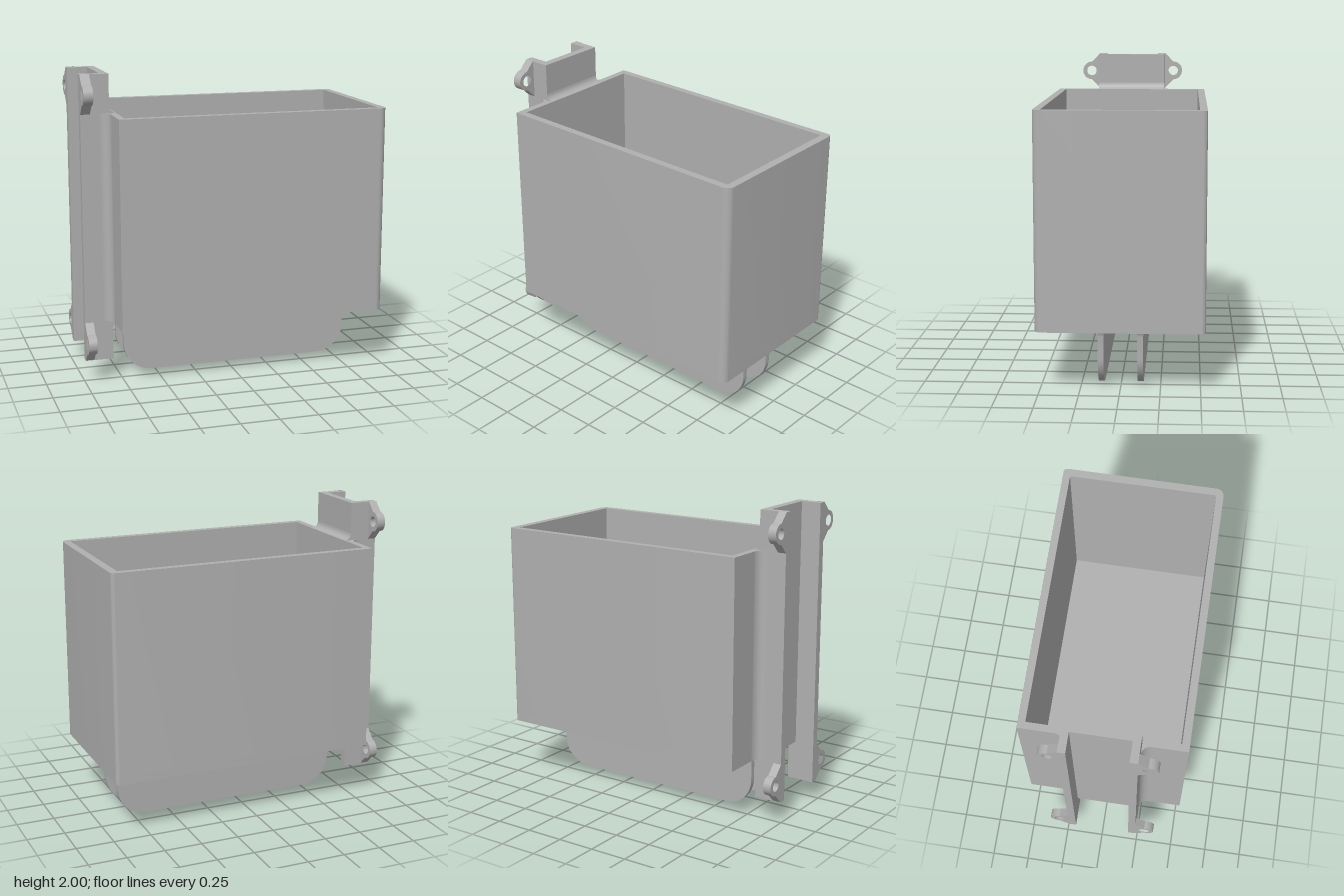
import * as THREE from 'three';
import { toCreasedNormals } from 'three/addons/utils/BufferGeometryUtils.js';

const grey = new THREE.MeshStandardMaterial({ color: 0xb0b0b0 });
grey.name = 'grey';

export function createModel() {
  const model = new THREE.Group();
  model.name = 'mountedBin';

  // Extrude a shape from 'start' over 'depth' along an axis.
  // axis z: shape is (x, y); axis y: shape is (x, -z); axis x: shape is (-z, y)
  function prism(name, shape, axis, start, depth) {
    let geo = new THREE.ExtrudeGeometry(shape, { depth, bevelEnabled: false, curveSegments: 12 });
    geo.translate(0, 0, start);
    if (axis === 'y') geo.rotateX(-Math.PI / 2);
    if (axis === 'x') geo.rotateY(Math.PI / 2);
    geo = toCreasedNormals(geo, 0.5);
    const mesh = new THREE.Mesh(geo, grey);
    mesh.name = name;
    model.add(mesh);
  }

  function block(name, x0, x1, y0, y1, z0, z1) {
    const mesh = new THREE.Mesh(new THREE.BoxGeometry(x1 - x0, y1 - y0, z1 - z0), grey);
    mesh.position.set((x0 + x1) / 2, (y0 + y1) / 2, (z0 + z1) / 2);
    mesh.name = name;
    model.add(mesh);
  }

  // Concave corner fill at (cx, cy), reaching r towards signs sx and sy
  function fillet(cx, cy, sx, sy, r) {
    const pts = [new THREE.Vector2(cx, cy)];
    for (let i = 0; i <= 10; i++) {
      const t = (i / 10) * Math.PI / 2;
      pts.push(new THREE.Vector2(cx + sx * r * (1 - Math.sin(t)), cy + sy * r * (1 - Math.cos(t))));
    }
    return new THREE.Shape(pts);
  }

  const bottom = 0.39, rim = 1.75, top = 2, foot = 0.13;

  // Bin: outline rounded only at the far end
  function binOutline() {
    const s = new THREE.Shape();
    s.moveTo(-0.8, -0.523);
    s.lineTo(0.928, -0.523);
    s.absarc(0.928, -0.473, 0.05, -Math.PI / 2, 0, false);
    s.lineTo(0.98, 0.503);
    s.absarc(0.955, 0.503, 0.024, 0, Math.PI / 2, false);
    s.lineTo(-0.8, 0.527);
    s.closePath();
    return s;
  }
  prism('binFloor', binOutline(), 'y', bottom, 0.05);
  const walls = binOutline();
  walls.holes.push(new THREE.Path([
    new THREE.Vector2(-0.755, -0.475), new THREE.Vector2(-0.755, 0.48),
    new THREE.Vector2(0.928, 0.48), new THREE.Vector2(0.928, -0.475),
  ]));
  prism('binWalls', walls, 'y', bottom + 0.05, rim - bottom - 0.05);

  // Mounting channel web and its fillet onto the rim
  block('channelWeb', -0.852, -0.8, bottom, top, -0.238, 0.238);
  prism('rimFillet', fillet(-0.8, rim, 1, 1, 0.046), 'z', -0.238, 0.476);

  for (const s of [1, -1]) {
    // Channel flanges, blended into the bin end and underside
    const zIn = s * 0.188, zOut = s * 0.238;
    const z0 = Math.min(zIn, zOut);
    block('channelFlange', -0.985, -0.8, foot, top, z0, z0 + 0.05);
    prism('flangeFillet', fillet(-0.8, -zOut, -1, -s, 0.06), 'y', bottom, rim - bottom);
    prism('flangeFootFillet', fillet(-0.8, bottom, 1, -1, 0.055), 'z', z0, 0.05);

    // Screw lugs at both ends of each flange
    for (const [y, thick] of [[1.875, s > 0 ? 0.062 : 0.055], [0.26, 0.055]]) {
      const u = -s * 0.238, c = -s * 0.3, r = 0.064;
      const lug = new THREE.Shape();
      lug.moveTo(u, y - 0.127);
      lug.lineTo(c, y - r);
      lug.absarc(c, y, r, -Math.PI / 2, Math.PI / 2, s > 0);
      lug.lineTo(u, y + 0.127);
      lug.closePath();
      const hole = new THREE.Path();
      hole.absarc(c, y, 0.035, 0, Math.PI * 2, true);
      lug.holes.push(hole);
      prism('screwLug', lug, 'x', -0.985, thick);
    }

    // Lower fin with rounded corners and flared ends
    const a = -0.71, b = 0.847, R = 0.19, f = 0.06;
    const fin = new THREE.Shape();
    fin.moveTo(a - f, bottom);
    fin.absarc(a - f, bottom - f, f, Math.PI / 2, 0, true);
    fin.lineTo(a, R);
    fin.absarc(a + R, R, R, Math.PI, Math.PI * 1.5, false);
    fin.lineTo(b - R, 0);
    fin.absarc(b - R, R, R, -Math.PI / 2, 0, false);
    fin.lineTo(b, bottom - f);
    fin.absarc(b + f, bottom - f, f, Math.PI, Math.PI / 2, true);
    fin.closePath();
    prism('fin', fin, 'z', s > 0 ? 0.105 : -0.141, 0.036);
    prism('finFillet', fillet(-s * 0.141, bottom, -s, -1, 0.055), 'x', a - 0.02, b - a + 0.04);
  }
  return model;
}
